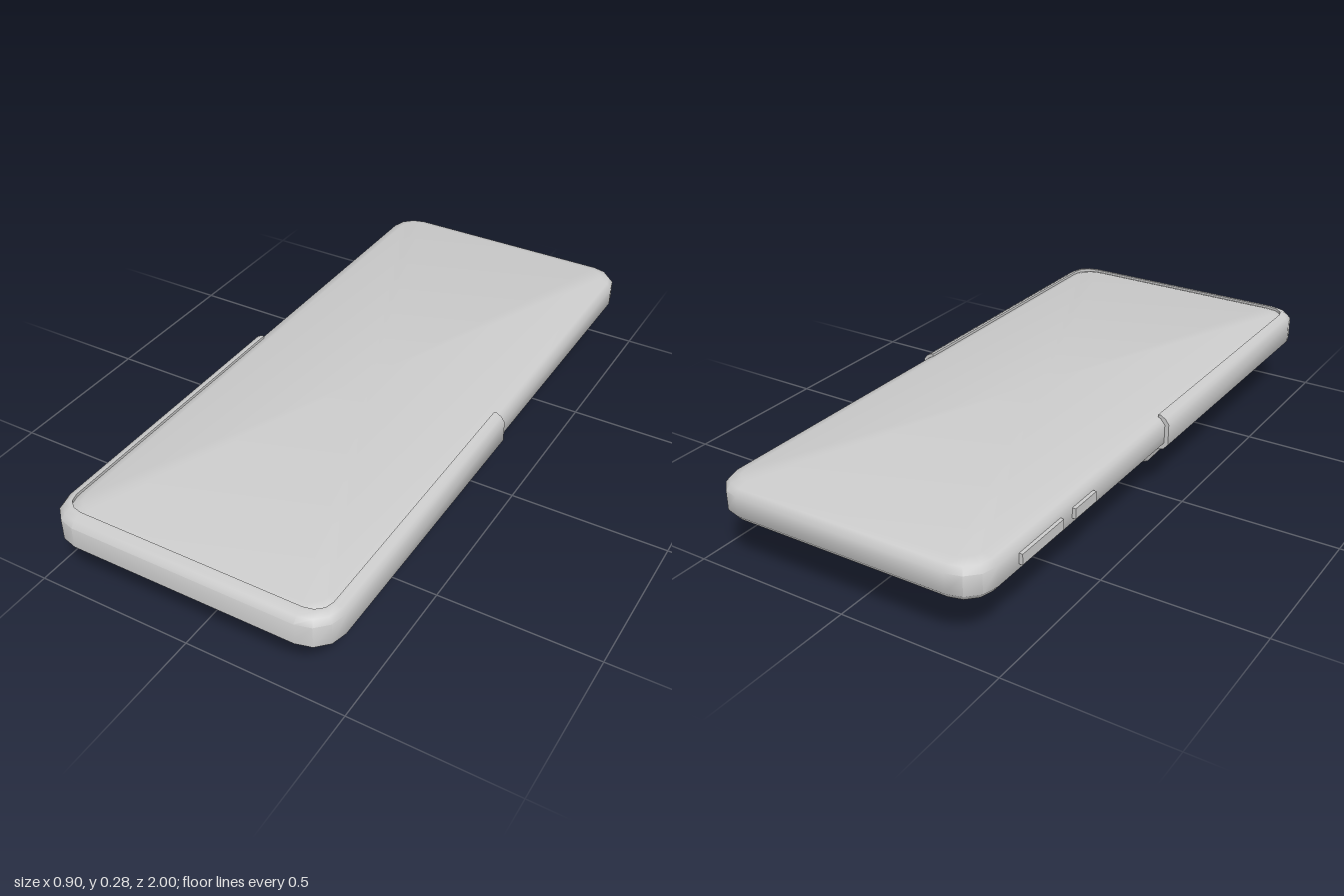
import * as THREE from 'three';
import { toCreasedNormals } from 'three/addons/utils/BufferGeometryUtils.js';

const grey = new THREE.MeshStandardMaterial({ color: 0xcccccc });
const greyDouble = new THREE.MeshStandardMaterial({ color: 0xcccccc, side: THREE.DoubleSide });

function add(parent, name, geometry, material = grey) {
  const mesh = new THREE.Mesh(geometry, material);
  mesh.name = name;
  parent.add(mesh);
  return mesh;
}

// Rounded corners between quarter turns, inset by d (a little more along z when dz > 1)
function corners(hw, zMin, zMax, r, d, first, count, dz = 1) {
  const pts = [];
  for (let k = first; k < first + count; k++) {
    const sx = k === 0 || k === 3 ? 1 : -1;
    const cx = sx * (hw - r), cz = k < 2 ? zMax - r : zMin + r;
    for (let i = 0; i <= 3; i++) {
      const a = (k + i / 3) * Math.PI / 2;
      pts.push([cx + (r - d) * Math.cos(a), cz + (r - d * dz) * Math.sin(a)]);
    }
  }
  return pts;
}

// Stack outlines along a profile of [inset, y]; an inset of null closes to the centre
function loft(outline, profile, centre, closed) {
  const n = outline(0).length, pos = [], idx = [];
  for (const [d, y] of profile) {
    const ring = d === null ? Array(n).fill(centre) : outline(d);
    for (const [x, z] of ring) pos.push(x, y, z);
  }
  for (let i = 0; i < profile.length - 1; i++) {
    for (let j = 0; j < (closed ? n : n - 1); j++) {
      const k = (j + 1) % n;
      const a = i * n + j, b = i * n + k, c = a + n, e = b + n;
      if (profile[i + 1][0] !== null) idx.push(c, e, b);
      if (profile[i][0] !== null) idx.push(a, c, b);
    }
  }
  const g = new THREE.BufferGeometry();
  g.setAttribute('position', new THREE.Float32BufferAttribute(pos, 3));
  g.setIndex(idx);
  return toCreasedNormals(g, 0.75);
}

function polygon(points, Type = THREE.Shape) {
  return new Type(points.map(([x, y]) => new THREE.Vector2(x, y)));
}

export function createModel() {
  const model = new THREE.Group();
  model.name = 'phoneWithGripCase';

  // Phone body
  add(model, 'phoneBody', loft(
    d => corners(0.437, -1, 0.985, 0.095, d, 0, 4),
    [[null, 0.165], [0.045, 0.165], [0.015, 0.174], [0, 0.192], [0, 0.252],
      [0.015, 0.27], [0.045, 0.279], [null, 0.279]],
    [0, 0], true));

  // Half case: outer wall, floor and lip around the front end
  const z0 = -0.015, hw = 0.45;
  const caseProfile = [[null, 0.162], [0.045, 0.162], [0.015, 0.171], [0, 0.188], [0, 0.256],
    [0.012, 0.272], [0.028, 0.281], [0.036, 0.281], [0.036, 0.268]];
  add(model, 'halfCase', loft(
    d => [[hw - d, z0], ...corners(hw, 0, 1, 0.095, d, 0, 2, 1.2), [d - hw, z0]],
    caseProfile, [0, z0], false), greyDouble);

  // Cut edge of the case
  const side = caseProfile.slice(1).map(([d, y]) => [hw - d, y]);
  const mirrored = side.map(([x, y]) => [-x, y]).reverse();
  const edge = new THREE.ShapeGeometry(polygon([...side, ...mirrored]));
  add(model, 'caseEdge', edge, greyDouble).position.z = z0;

  // Hand strap loop under the case
  const loop = polygon([[0.75, 0.168], [0.78, 0.15], [0.8, 0.095], [0.77, 0.052], [0.57, 0.016],
    [0.165, 0.002], [0.145, 0.01], [0.118, 0.07], [0.145, 0.168]]);
  loop.holes.push(polygon([[0.755, 0.132], [0.772, 0.092], [0.752, 0.075], [0.57, 0.048],
    [0.187, 0.034], [0.155, 0.07], [0.17, 0.112]], THREE.Path));
  const strap = new THREE.ExtrudeGeometry(loop, {
    depth: 0.179, bevelThickness: 0.018, bevelSize: 0.011, bevelOffset: -0.011, bevelSegments: 2,
  });
  strap.rotateY(-Math.PI / 2).translate(-0.103, 0, 0);
  add(model, 'gripStrap', toCreasedNormals(strap, 0.6));

  // Rear cameras: rim, sunken ring and raised lens
  const lensProfile = [[0, 0.153], [0.02, 0.153], [0.024, 0.158], [0.042, 0.158], [0.046, 0.15],
    [0.071, 0.15], [0.077, 0.154], [0.077, 0.168]].map(([r, y]) => new THREE.Vector2(r, y));
  for (const z of [-0.62, -0.81]) {
    const lens = toCreasedNormals(new THREE.LatheGeometry(lensProfile, 32), 0.5);
    add(model, 'rearCamera', lens, greyDouble).position.set(0.302, 0, z);
  }

  // Flash: a small pill beside the cameras
  const pill = new THREE.Shape();
  pill.absarc(0, 0.03, 0.01, 0, Math.PI);
  pill.absarc(0, -0.03, 0.01, Math.PI, 2 * Math.PI);
  const flash = new THREE.ExtrudeGeometry(pill, { depth: 0.018, bevelEnabled: false, curveSegments: 6 });
  flash.rotateX(-Math.PI / 2);
  add(model, 'flash', flash).position.set(0.146, 0.15, -0.81);

  // Side buttons
  for (const [name, z, length] of [['volumeButton', -0.71, 0.2], ['powerButton', -0.495, 0.11]]) {
    add(model, name, new THREE.BoxGeometry(0.02, 0.032, length)).position.set(-0.438, 0.222, z);
  }

  return model;
}
